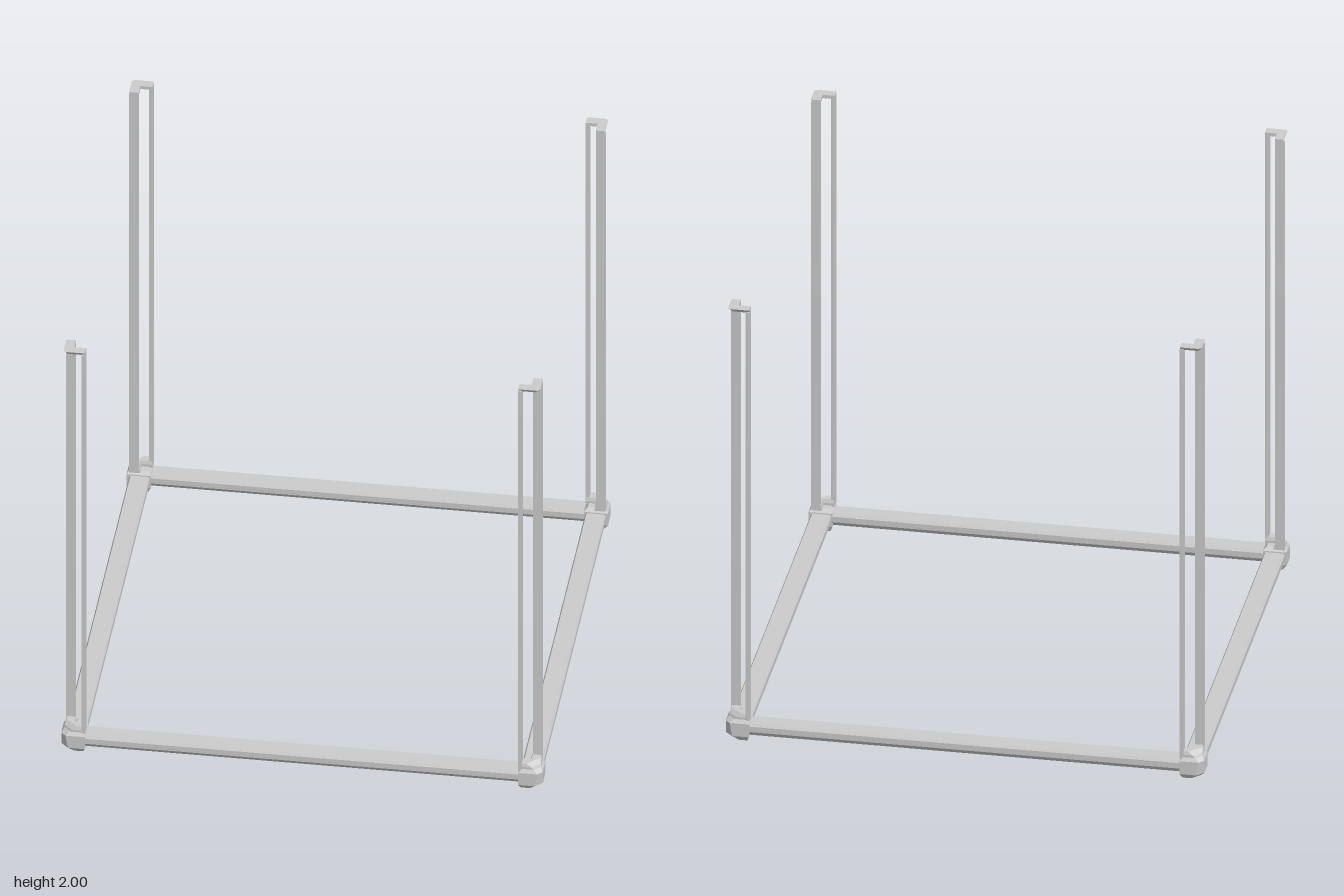
import * as THREE from 'three';

const material = new THREE.MeshStandardMaterial({ color: 0xcccccc, flatShading: true });

function mesh(geometry, name) {
  const m = new THREE.Mesh(geometry, material);
  m.name = name;
  return m;
}

// Stacks horizontal outlines ([x, z] points, same count per layer) into a closed solid.
function loft(layers) {
  const pos = [];
  const put = (l, i) => pos.push(l.pts[i][0], l.y, l.pts[i][1]);
  const tri = (...corners) => corners.forEach(([l, i]) => put(l, i));
  const n = layers[0].pts.length;
  for (let k = 0; k < layers.length - 1; k++) {
    const a = layers[k], b = layers[k + 1];
    for (let i = 0; i < n; i++) {
      const j = (i + 1) % n;
      tri([a, i], [b, i], [a, j]);
      tri([b, i], [b, j], [a, j]);
    }
  }
  const cap = (l, up) => {
    const v = l.pts.map(([x, z]) => new THREE.Vector2(x, z));
    for (const [a, b, c] of THREE.ShapeUtils.triangulateShape(v, [])) {
      const facesDown = THREE.ShapeUtils.area([v[a], v[b], v[c]]) > 0;
      if (facesDown !== up) tri([l, a], [l, b], [l, c]);
      else tri([l, a], [l, c], [l, b]);
    }
  };
  cap(layers[0], false);
  cap(layers[layers.length - 1], true);
  const g = new THREE.BufferGeometry();
  g.setAttribute('position', new THREE.Float32BufferAttribute(pos, 3));
  g.computeVertexNormals();
  return g;
}

// Square outline from i to o with its outer corner cut by c.
const square = (y, i, o, c) => ({ y, pts: [[o, i], [o, o - c], [o - c, o], [i, o], [i, i]] });
// Angle outline with arms from n to o, ending at i.
const angle = (y, i, n, o, c) => ({
  y, pts: [[o, i], [o, o - c], [o - c, o], [i, o], [i, n], [n, n], [n, i]],
});

// One corner with its post, in the +x +z position.
function corner() {
  const g = new THREE.Group();
  g.add(mesh(loft([
    square(0, 0.91, 0.98, 0.035),
    square(0.025, 0.9, 1, 0.03),
    square(0.085, 0.9, 1, 0.02),
    square(0.1, 0.915, 0.99, 0.025),
  ]), 'cornerBlock'));
  g.add(mesh(loft([
    angle(0.095, 0.9, 0.945, 0.99, 0.025),
    angle(0.11, 0.9, 0.945, 0.99, 0.035),
    angle(0.125, 0.905, 0.95, 0.985, 0.05),
  ]), 'postSocket'));
  // Two flat strips stand either side of the open outer corner.
  for (const [w, d, x, z] of [[0.04, 0.015, 0.97, 0.9075], [0.015, 0.04, 0.9075, 0.97]]) {
    const strip = mesh(new THREE.BoxGeometry(w, 1.88, d), 'postStrip');
    strip.position.set(x, 1.05, z);
    g.add(strip);
  }
  g.add(mesh(loft([
    angle(1.985, 0.9, 0.95, 0.98, 0.01),
    angle(2, 0.9, 0.95, 0.99, 0.01),
  ]), 'postCap'));
  return g;
}

// Base beam along z on the +x side, bevelled most on its underside.
function beam() {
  const section = [
    [0.905, 0.045], [0.92, 0.025], [0.975, 0.025], [0.99, 0.045],
    [0.99, 0.07], [0.984, 0.08], [0.911, 0.08], [0.905, 0.07],
  ];
  const shape = new THREE.Shape(section.map(([x, y]) => new THREE.Vector2(x, y)));
  const g = new THREE.ExtrudeGeometry(shape, { depth: 1.84, bevelEnabled: false });
  return mesh(g.translate(0, 0, -0.92), 'baseBeam');
}

export function createModel() {
  const model = new THREE.Group();
  model.name = 'openFrame';
  for (let k = 0; k < 4; k++) {
    const side = new THREE.Group();
    side.name = 'frameQuarter';
    const post = corner();
    post.name = 'cornerPost';
    side.add(post, beam());
    side.rotation.y = k * Math.PI / 2;
    model.add(side);
  }
  return model;
}
